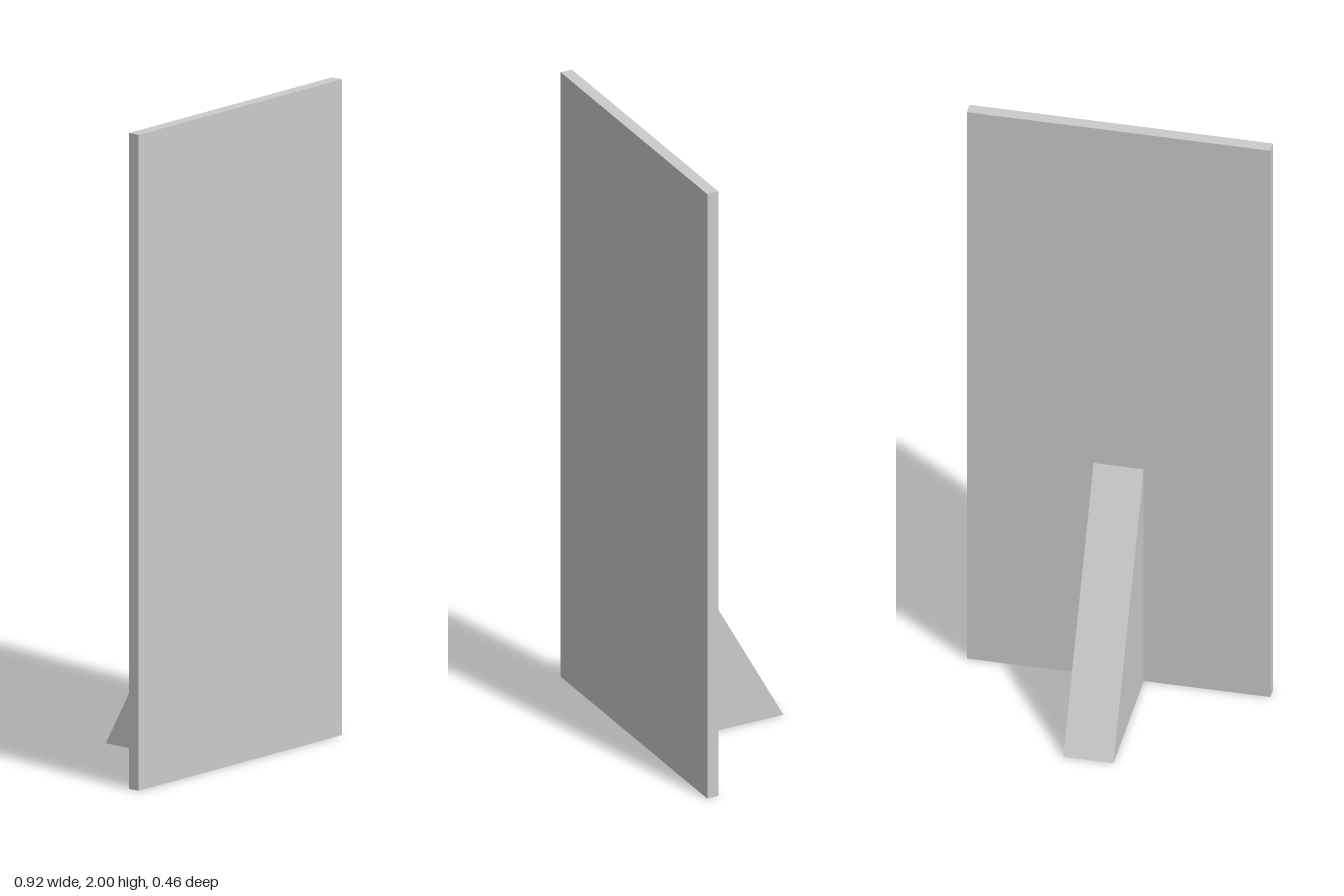
import * as THREE from 'three';

export function createModel() {
  const group = new THREE.Group();
  const material = new THREE.MeshStandardMaterial({ color: 0xcccccc, flatShading: true });

  const width = 0.92, height = 2, thickness = 0.038;
  const frontZ = 0.231, panelBackZ = frontZ - thickness;

  // Upright flat panel
  const panel = new THREE.Mesh(new THREE.BoxGeometry(width, height, thickness), material);
  panel.name = 'panel';
  panel.position.set(0, height / 2, frontZ - thickness / 2);
  group.add(panel);

  // Triangular wedge propping the panel from behind (side profile: z, y)
  const wedgeWidth = 0.152;
  const profile = new THREE.Shape([
    new THREE.Vector2(-frontZ, 0),
    new THREE.Vector2(panelBackZ, 0),
    new THREE.Vector2(panelBackZ, 0.775),
  ]);
  const wedge = new THREE.ExtrudeGeometry(profile, { depth: wedgeWidth, bevelEnabled: false });
  wedge.translate(0, 0, -wedgeWidth / 2).rotateY(-Math.PI / 2);
  const support = new THREE.Mesh(wedge, material);
  support.name = 'backSupport';
  group.add(support);

  return group;
}
